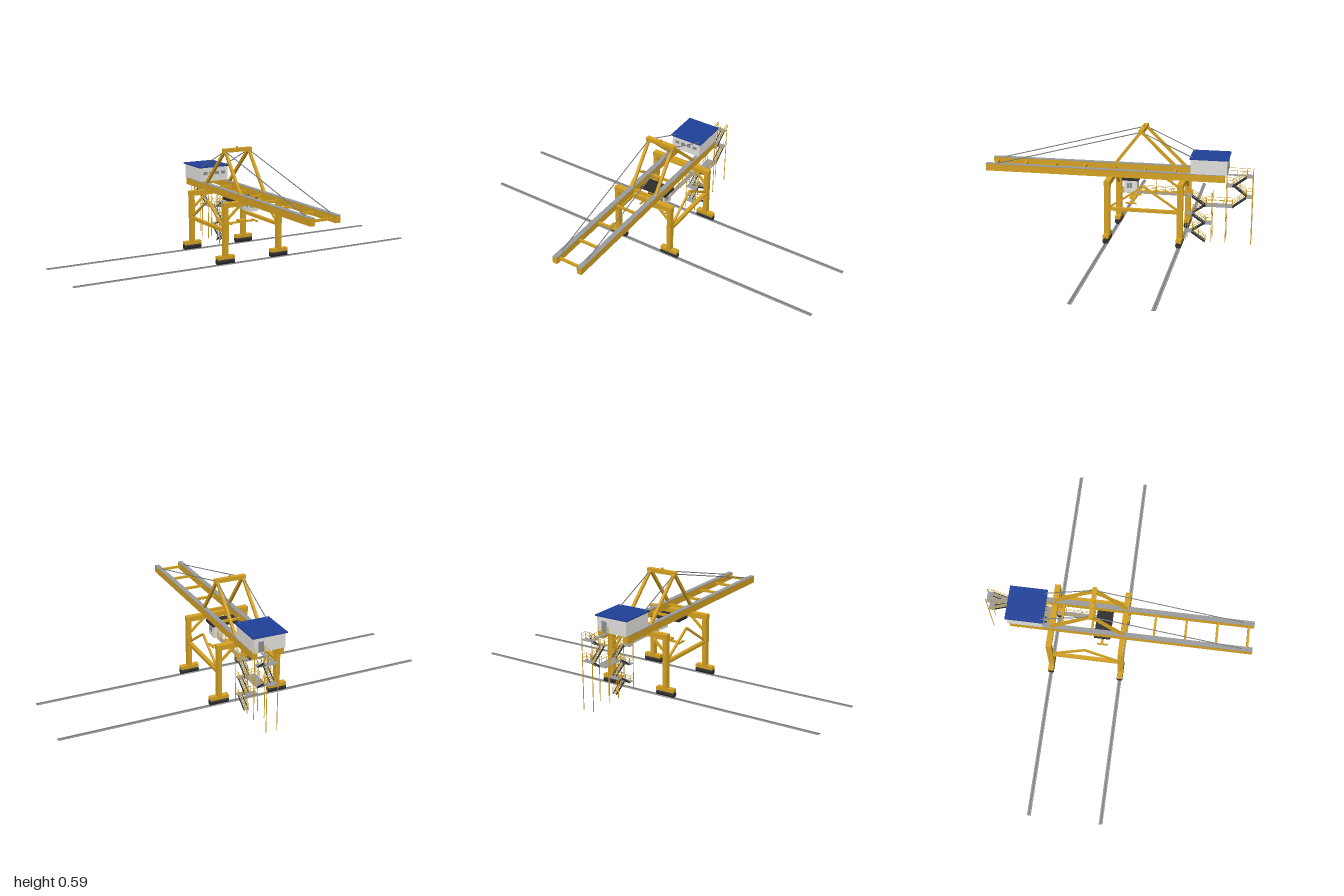
import * as THREE from 'three';

const mat = (name, color) => {
  const m = new THREE.MeshStandardMaterial({ color });
  m.name = name;
  return m;
};

export function createModel() {
  const yellow = mat('crane yellow', 0xd3a021);
  const grey = mat('steel grey', 0x989a9c);
  const dark = mat('charcoal', 0x2d2d2d);
  const cableGrey = mat('cable grey', 0x7a7c7e);
  const wall = mat('wall light grey', 0xe0deda);
  const blue = mat('roof blue', 0x1f4098);
  const glass = mat('window grey', 0x888b90);

  const model = new THREE.Group();
  model.name = 'gantryCrane';

  // Box given by its centre and size
  const box = (name, m, x, y, z, w, h, d) => {
    const mesh = new THREE.Mesh(new THREE.BoxGeometry(w, h, d), m);
    mesh.name = name;
    mesh.position.set(x, y, z);
    model.add(mesh);
  };
  // Rectangular bar between two points; w is across, t is the other thickness
  const bar = (name, m, a, b, w, t = w) => {
    const A = new THREE.Vector3(...a), B = new THREE.Vector3(...b);
    const mesh = new THREE.Mesh(new THREE.BoxGeometry(w, t, A.distanceTo(B)), m);
    mesh.name = name;
    mesh.position.copy(A).add(B).multiplyScalar(0.5);
    mesh.lookAt(B);
    model.add(mesh);
  };
  // Round cable between two points
  const cable = (name, a, b, r) => {
    const path = new THREE.LineCurve3(new THREE.Vector3(...a), new THREE.Vector3(...b));
    const mesh = new THREE.Mesh(new THREE.TubeGeometry(path, 1, r, 8), cableGrey);
    mesh.name = name;
    model.add(mesh);
  };

  const zFront = 0.031, zBack = -0.347, legX = 0.163, girderX = 0.072;

  // Ground rails, bogies, legs and portal beams
  for (const z of [zFront, zBack]) {
    box('railBase', grey, 0, 0.0015, z, 2, 0.003, 0.02);
    box('railHead', cableGrey, 0, 0.0045, z, 2, 0.003, 0.006);
    box('portalBeam', yellow, 0, 0.318, z, 0.354, 0.026, 0.03);
    for (const s of [-1, 1]) {
      box('leg', yellow, s * legX, 0.19, z, 0.023, 0.28, 0.03);
      box('bogieBeam', yellow, s * legX, 0.041, z, 0.1, 0.018, 0.029);
      const wheels = new THREE.Mesh(new THREE.CylinderGeometry(0.016, 0.016, 0.1, 12), dark);
      wheels.name = 'bogieWheels';
      wheels.rotation.z = Math.PI / 2;
      wheels.position.set(s * legX, 0.0205, z);
      model.add(wheels);
      bar('kneeBrace', yellow, [s * 0.157, 0.235, z], [s * 0.075, 0.307, z], 0.011);
    }
  }

  // Side frames, girders and apex frame
  for (const s of [-1, 1]) {
    const x = s * legX, gx = s * girderX, zMid = -0.158;
    box('sideBeam', yellow, x, 0.182, zMid, 0.019, 0.016, 0.36);
    bar('sideBrace', yellow, [x, 0.19, 0.02], [x, 0.309, zMid], 0.01);
    bar('sideBrace', yellow, [x, 0.19, -0.337], [x, 0.309, zMid], 0.01);

    box('girder', yellow, gx, 0.346, 0.071, 0.026, 0.036, 1.267);
    box('girderWalkway', grey, gx, 0.3655, 0.071, 0.026, 0.003, 1.267);
    bar('apexLeg', yellow, [gx, 0.361, 0.034], [gx, 0.57, -0.127], 0.014);
    bar('apexLeg', yellow, [gx, 0.361, -0.347], [gx, 0.57, -0.133], 0.014);
    cable('foreStay', [gx, 0.365, 0.65], [gx, 0.571, -0.13], 0.0026);
    cable('backStay', [gx, 0.571, -0.13], [gx, 0.444, -0.408], 0.0026);
  }
  for (let i = 0; i < 8; i++) {
    box('girderTie', yellow, 0, 0.346, 0.677 - i * 0.162, 0.12, 0.012, 0.012);
  }
  box('apexBeam', yellow, 0, 0.574, -0.13, 0.17, 0.02, 0.024);
  box('apexLamp', yellow, 0, 0.588, -0.13, 0.008, 0.012, 0.008);

  // Trolley and spreader
  box('trolley', dark, 0, 0.321, -0.076, 0.182, 0.013, 0.085);
  box('spreader', yellow, 0, 0.191, -0.081, 0.165, 0.008, 0.014);
  box('spreaderHead', yellow, -0.003, 0.199, -0.076, 0.046, 0.01, 0.034);
  for (const s of [-1, 1]) {
    box('spreaderEnd', yellow, s * 0.079, 0.191, -0.078, 0.008, 0.008, 0.058);
  }

  // Operator cabin
  box('cabin', wall, 0.052, 0.281, -0.076, 0.054, 0.066, 0.068);
  box('cabinFrontWindow', glass, 0.052, 0.286, -0.041, 0.042, 0.03, 0.003);
  for (const s of [-1, 1]) for (const z of [-0.063, -0.078]) {
    box('cabinSideWindow', glass, 0.052 + s * 0.027, 0.286, z, 0.003, 0.026, 0.012);
  }

  // Machinery house
  box('machineryHouse', wall, 0, 0.405, -0.48, 0.17, 0.078, 0.186);
  box('houseRoof', blue, 0, 0.447, -0.48, 0.186, 0.007, 0.198);
  for (let i = 0; i < 4; i++) {
    box('houseWindow', glass, -0.055 + i * 0.0367, 0.411, -0.387, 0.024, 0.017, 0.003);
  }
  box('houseDoor', glass, 0.045, 0.395, -0.574, 0.028, 0.056, 0.003);

  // Railing of posts and two rails along a straight run
  const railing = (a, b, h = 0.035) => {
    const A = new THREE.Vector3(...a), B = new THREE.Vector3(...b);
    const n = Math.max(1, Math.round(A.distanceTo(B) / 0.05));
    for (let i = 0; i <= n; i++) {
      const p = A.clone().lerp(B, i / n);
      box('railingPost', yellow, p.x, p.y + h / 2, p.z, 0.0014, h, 0.0014);
    }
    for (const k of [0.55, 1]) {
      bar('handrail', yellow, [a[0], a[1] + h * k, a[2]], [b[0], b[1] + h * k, b[2]], 0.0014);
    }
  };
  // Stair flight with treads, stringers and railings
  const flight = (x, y0, z0, y1, z1) => {
    const w = 0.022, n = 8;
    for (let i = 0; i < n; i++) {
      const t = (i + 0.5) / n;
      box('tread', grey, x, y0 + (y1 - y0) * t, z0 + (z1 - z0) * t, w, 0.002, 0.009);
    }
    for (const s of [-1, 1]) {
      const sx = x + s * w / 2;
      bar('stringer', dark, [sx, y0, z0], [sx, y1, z1], 0.002, 0.009);
      railing([sx, y0, z0], [sx, y1, z1]);
    }
  };
  const laneA = 0.067, laneB = 0.036;
  const landing = (y, zA, zB) => {
    box('landing', grey, 0.05, y, (zA + zB) / 2, 0.06, 0.003, Math.abs(zA - zB));
    for (const x of [0.021, 0.079]) railing([x, y, zA], [x, y, zB]);
  };

  // Lower stair tower
  const zNear = -0.397, zFar = -0.468;
  for (let i = 0; i < 5; i++) {
    const y0 = 0.004 + i * 0.048, up = i % 2 === 0;
    flight(up ? laneA : laneB, y0, up ? zFar : zNear, y0 + 0.048, up ? zNear : zFar);
    landing(y0 + 0.048, up ? zNear : zFar, up ? -0.368 : -0.498);
  }
  for (const x of [0.021, 0.079]) {
    for (const z of [-0.368, -0.499]) box('towerPost', yellow, x, 0.138, z, 0.003, 0.268, 0.003);
    for (const z of [-0.572, -0.704]) box('towerPost', yellow, x, 0.2, z, 0.003, 0.392, 0.003);
  }

  // Bridge between towers and upper stair tower
  landing(0.197, -0.468, -0.602);
  flight(laneA, 0.197, -0.602, 0.252, -0.673);
  landing(0.252, -0.673, -0.704);
  flight(laneB, 0.252, -0.673, 0.307, -0.602);
  landing(0.307, -0.602, -0.573);
  flight(laneA, 0.307, -0.602, 0.36, -0.673);
  landing(0.36, -0.673, -0.704);
  box('topWalkway', grey, laneB, 0.36, -0.622, 0.02, 0.003, 0.105);
  railing([0.026, 0.36, -0.573], [0.026, 0.36, -0.673]);

  // Walkway from stairs to cabin
  box('cabinWalkway', grey, 0.05, 0.244, -0.25, 0.024, 0.003, 0.29);
  for (const x of [0.038, 0.062]) railing([x, 0.244, -0.112], [x, 0.244, -0.39]);
  for (const z of [-0.13, -0.21, -0.29]) {
    box('walkwayHanger', yellow, 0.062, 0.287, z, 0.002, 0.086, 0.002);
  }

  return model;
}
